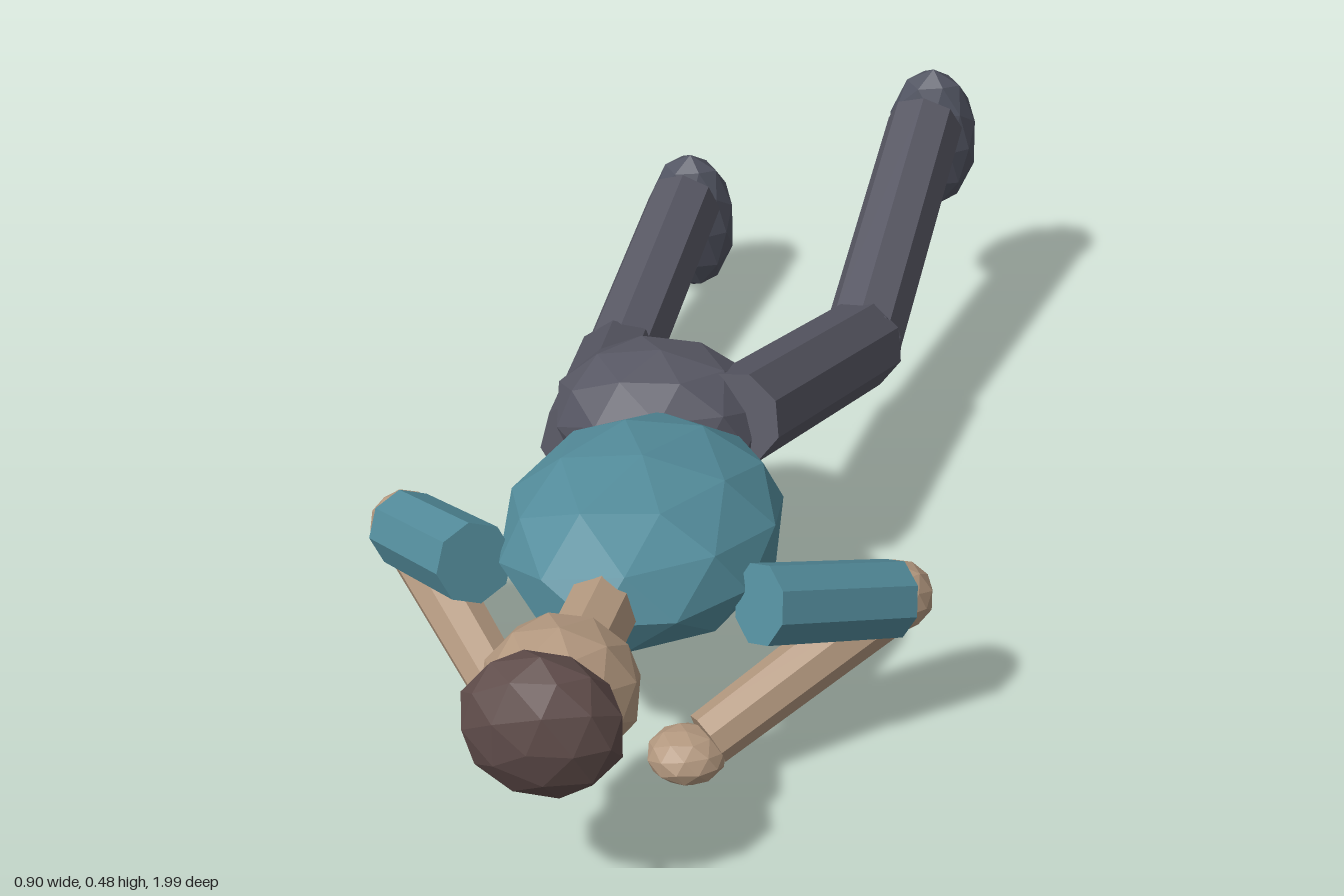
import * as THREE from 'three';

const mat = (name, color) => {
  const m = new THREE.MeshStandardMaterial({ color, flatShading: true });
  m.name = name;
  return m;
};

export function createModel() {
  const model = new THREE.Group();
  model.name = 'lyingFigure';
  const shirt = mat('teal shirt', 0x538c9b);
  const skin = mat('skin', 0xb3987f);
  const trousers = mat('grey trousers', 0x575763);
  const shoe = mat('grey shoes', 0x525562);
  const hair = mat('brown hair', 0x5f4c4a);
  const eye = mat('dark eyes', 0x33262a);

  const add = (name, geometry, material, parent = model) => {
    const mesh = new THREE.Mesh(geometry, material);
    mesh.name = name;
    parent.add(mesh);
    return mesh;
  };

  // Faceted ellipsoid with its pole along the body axis (z)
  const blob = (name, material, centre, radii, parent) => {
    const g = new THREE.IcosahedronGeometry(1, 1);
    g.rotateX(Math.atan2(2, 1 + Math.sqrt(5)));
    g.rotateZ(Math.PI / 2);
    g.scale(...radii);
    const mesh = add(name, g, material, parent);
    mesh.position.set(...centre);
    return mesh;
  };

  // Eight-sided limb segment between two points
  const limb = (name, material, from, to, r0, r1, parent) => {
    const a = new THREE.Vector3(...from);
    const b = new THREE.Vector3(...to);
    const dir = b.clone().sub(a);
    const mesh = add(name, new THREE.CylinderGeometry(r1, r0, dir.length(), 8), material, parent);
    mesh.position.copy(a).add(b).multiplyScalar(0.5);
    mesh.quaternion.setFromUnitVectors(new THREE.Vector3(0, 1, 0), dir.normalize());
    return mesh;
  };

  const part = (name) => {
    const g = new THREE.Group();
    g.name = name;
    model.add(g);
    return g;
  };

  // Trunk
  blob('torso', shirt, [0, 0.3, 0.365], [0.22, 0.135, 0.275]);
  blob('hips', trousers, [-0.06, 0.3, 0.035], [0.178, 0.122, 0.145]);

  // Head, face down
  const head = part('head');
  limb('neck', skin, [0, 0.305, 0.58], [0, 0.305, 0.73], 0.058, 0.058, head);
  blob('face', skin, [0, 0.308, 0.818], [0.12, 0.11, 0.125], head);
  blob('hair', hair, [0, 0.315, 0.915], [0.126, 0.117, 0.08], head);
  for (const s of [-1, 1]) blob('eye', eye, [s * 0.042, 0.208, 0.838], [0.014, 0.013, 0.014], head);

  // Arms, mirrored
  for (const s of [-1, 1]) {
    const arm = part(s > 0 ? 'leftArm' : 'rightArm');
    const elbow = [s * 0.396, 0.225, 0.335];
    limb('sleeve', shirt, [s * 0.222, 0.3, 0.52], [s * 0.392, 0.226, 0.345], 0.065, 0.063, arm);
    blob('elbow', skin, elbow, [0.056, 0.056, 0.056], arm);
    limb('forearm', skin, elbow, [s * 0.155, 0.072, 0.565], 0.05, 0.044, arm);
    blob('hand', skin, [s * 0.127, 0.054, 0.587], [0.062, 0.042, 0.06], arm);
  }

  // Legs, each in its own pose
  const legs = [
    ['leftLeg', [0.072, 0.335, 0.07], [0.165, 0.197, -0.435], [0.173, 0.387, -0.895], [0.178, 0.338, -0.937]],
    ['rightLeg', [-0.175, 0.247, 0.06], [-0.257, 0.105, -0.42], [-0.25, 0.2, -0.835], [-0.25, 0.138, -0.885]],
  ];
  for (const [name, hip, knee, ankle, foot] of legs) {
    const leg = part(name);
    limb('thigh', trousers, hip, knee, 0.078, 0.076, leg);
    blob('knee', trousers, knee, [0.072, 0.072, 0.072], leg);
    limb('shin', trousers, knee, ankle, 0.068, 0.066, leg);
    blob('foot', shoe, foot, [0.08, 0.138, 0.058], leg).rotation.x = 0.06;
  }

  return model;
}
